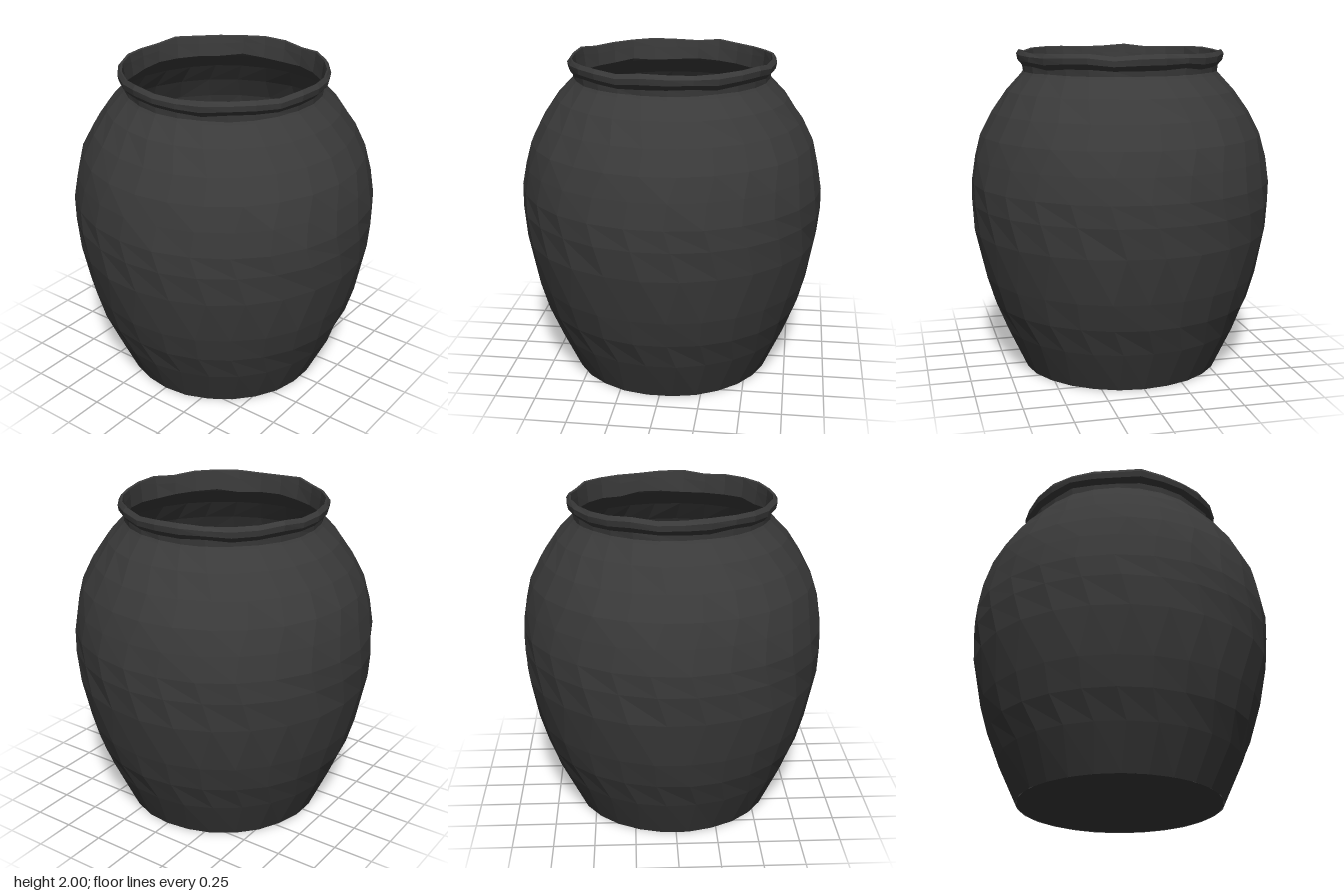
import * as THREE from 'three';

const clay = new THREE.MeshStandardMaterial({ color: 0x3a3a3a, flatShading: true, side: THREE.DoubleSide });
clay.name = 'dark clay';

const SIDES = 26;

// Turned part with a gentle hand-made unevenness; the rule depends only on position so seams stay closed.
function turned(name, profile, wobble, lift) {
  const points = profile.map(([r, y]) => new THREE.Vector2(r, y));
  const geometry = new THREE.LatheGeometry(points, SIDES);
  const pos = geometry.attributes.position;
  for (let i = 0; i < pos.count; i++) {
    const x = pos.getX(i), y = pos.getY(i), z = pos.getZ(i);
    const a = Math.atan2(x, z);
    // stagger the rows so that facets do not line up
    const twist = 0.05 * Math.sin(y * 9);
    const n = Math.sin(a * 7 + y * 11) * 0.6 + Math.sin(a * 11 - y * 17) * 0.4;
    const r = Math.hypot(x, z) * (1 + wobble * n);
    pos.setXYZ(i, r * Math.sin(a + twist), y + lift * n, r * Math.cos(a + twist));
  }
  geometry.computeVertexNormals();
  const mesh = new THREE.Mesh(geometry, clay);
  mesh.name = name;
  return mesh;
}

export function createModel() {
  const pot = new THREE.Group();
  pot.name = 'pot';

  // Bellied wall, open at the mouth
  pot.add(turned('body', [
    [0.625, 0], [0.745, 0.26], [0.815, 0.43], [0.865, 0.6], [0.92, 0.88], [0.935, 1.06],
    [0.934, 1.19], [0.91, 1.34], [0.872, 1.48], [0.8, 1.62], [0.71, 1.75], [0.615, 1.85], [0.6, 1.87],
  ], 0.004, 0));

  // Flared lip with a thin rolled edge
  pot.add(turned('lip', [
    [0.602, 1.86], [0.606, 1.9], [0.632, 1.93], [0.638, 1.965], [0.622, 1.99], [0.61, 1.985],
    [0.604, 1.94], [0.596, 1.86],
  ], 0.008, 0.01));

  // Flat floor
  const base = new THREE.Mesh(new THREE.CircleGeometry(0.622, SIDES), clay);
  base.name = 'base';
  base.rotation.x = -Math.PI / 2;
  base.position.y = 0.002;
  pot.add(base);

  return pot;
}
